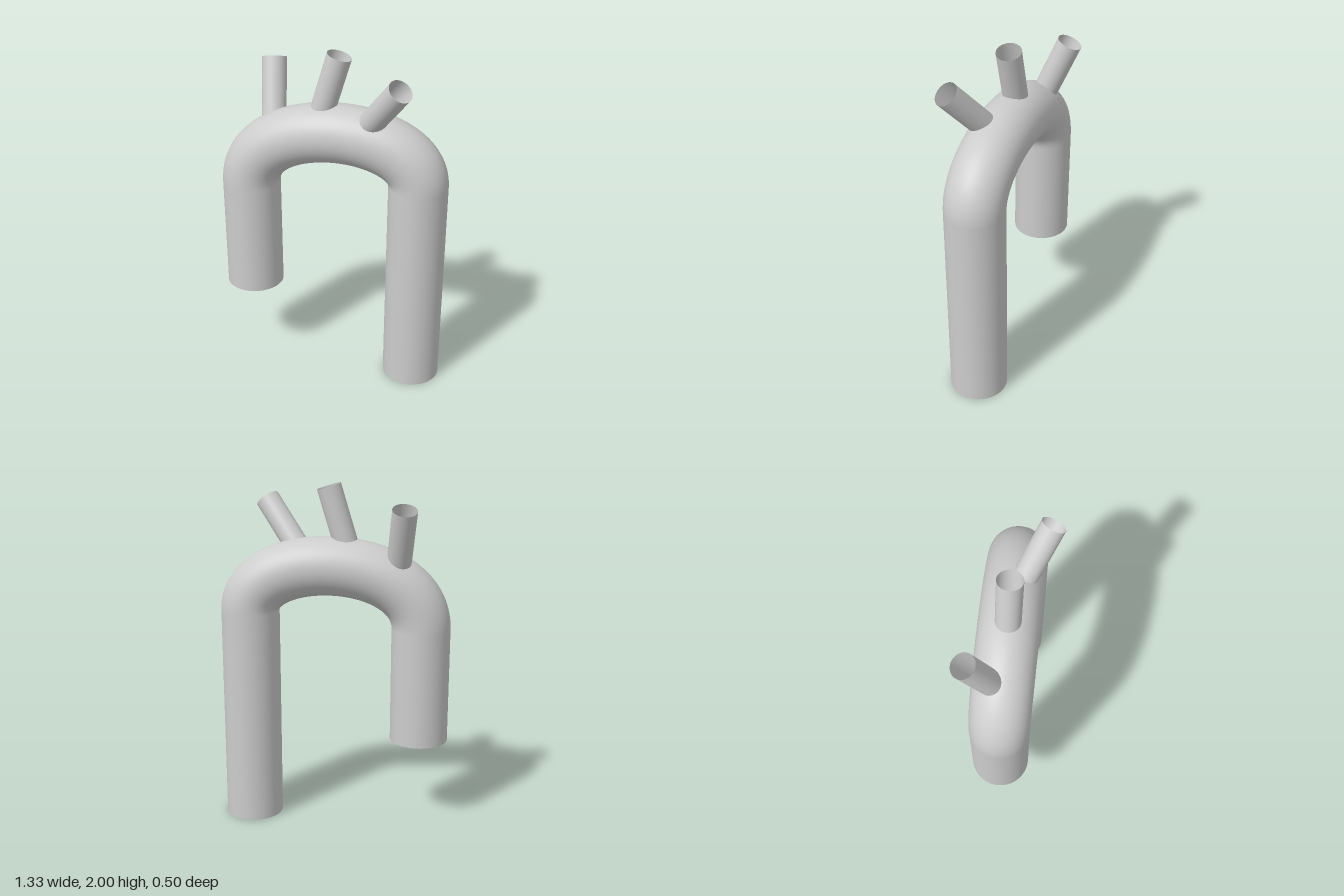
import * as THREE from 'three';

const SIDES = 64;
const MAIN_RADIUS = 0.169;
const BRANCH_RADIUS = 0.07;

export function createModel() {
  const model = new THREE.Group();
  model.name = 'branchedArch';
  const grey = new THREE.MeshStandardMaterial({ color: 0xcccccc, side: THREE.DoubleSide });
  grey.name = 'lightGrey';

  // Open-ended straight pipe between two points
  function pipe(name, from, to, radius) {
    const a = new THREE.Vector3(...from);
    const b = new THREE.Vector3(...to);
    const axis = b.clone().sub(a);
    const mesh = new THREE.Mesh(
      new THREE.CylinderGeometry(radius, radius, axis.length(), SIDES, 1, true), grey);
    mesh.position.copy(a).add(b).multiplyScalar(0.5);
    mesh.quaternion.setFromUnitVectors(new THREE.Vector3(0, 1, 0), axis.normalize());
    mesh.name = name;
    model.add(mesh);
  }

  // Curved main pipe, leaning slightly to the long leg
  const rightStart = new THREE.Vector3(-0.495, 1.17, 0);
  const leftStart = new THREE.Vector3(0.495, 1.26, 0);
  const curve = new THREE.CubicBezierCurve3(
    rightStart, new THREE.Vector3(-0.495, 1.63, 0),
    new THREE.Vector3(0.495, 1.63, 0), leftStart);
  const arch = new THREE.Mesh(
    new THREE.TubeGeometry(curve, 96, MAIN_RADIUS, SIDES, false), grey);
  arch.name = 'arch';
  model.add(arch);

  // Short and long straight legs
  pipe('shortLeg', [-0.495, 0.5, 0], rightStart.toArray(), MAIN_RADIUS);
  pipe('longLeg', [0.495, 0, 0], leftStart.toArray(), MAIN_RADIUS);

  // Three open branches rising from the middle of the arch
  pipe('rightBranch', [-0.35, 1.42, 0], [-0.397, 1.873, -0.185], BRANCH_RADIUS);
  pipe('middleBranch', [-0.105, 1.51, 0], [0.035, 1.978, 0], BRANCH_RADIUS);
  pipe('leftBranch', [0.135, 1.505, 0], [0.413, 1.88, 0.185], BRANCH_RADIUS);

  return model;
}
